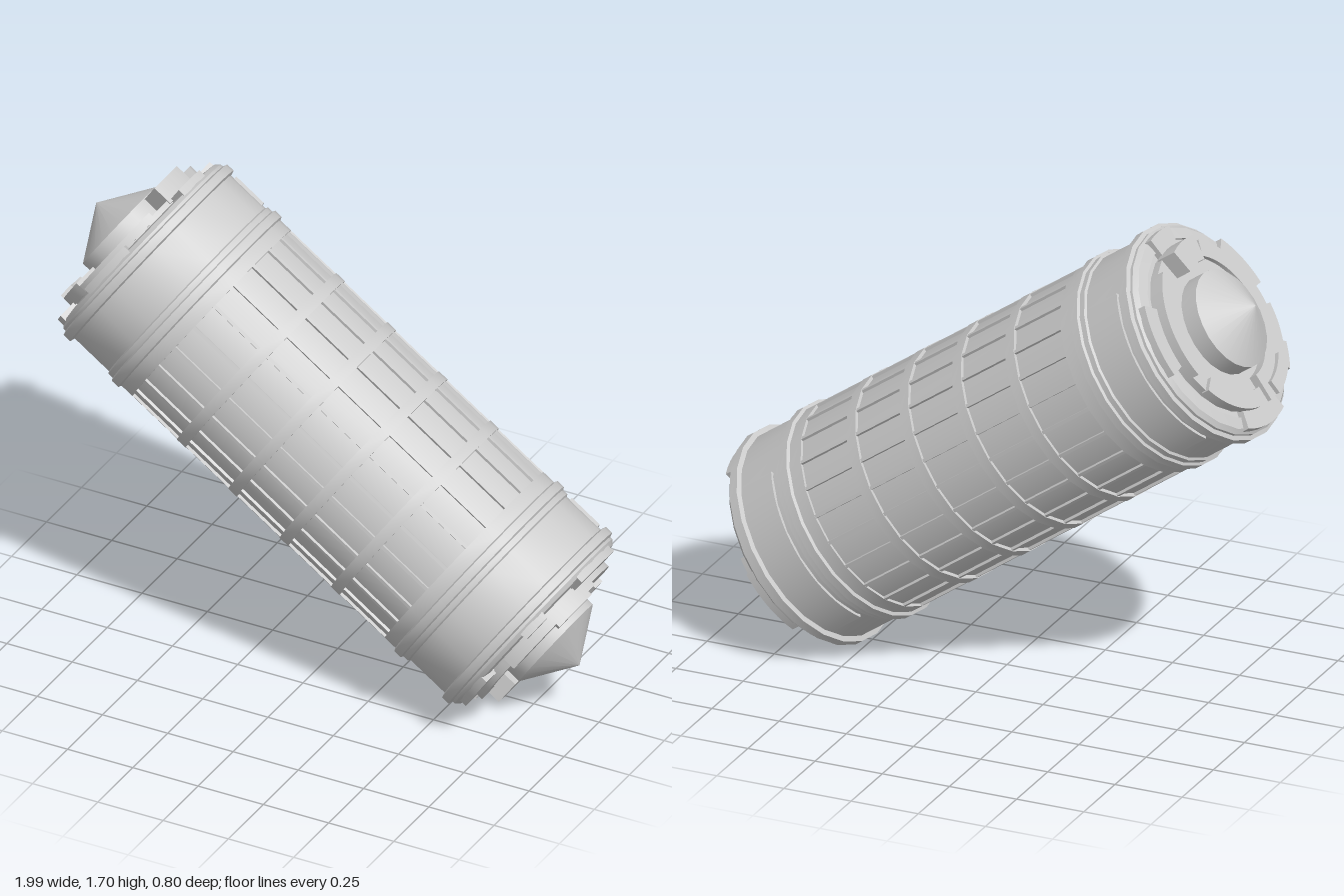
import * as THREE from 'three';
import { toCreasedNormals } from 'three/addons/utils/BufferGeometryUtils.js';

const material = new THREE.MeshStandardMaterial({ color: 0xcccccc });
const SIDES = 24;
const rad = THREE.MathUtils.degToRad;

function add(parent, name, geometry) {
  const mesh = new THREE.Mesh(geometry, material);
  mesh.name = name;
  parent.add(mesh);
  return mesh;
}

// Turned part from [radius, height] pairs, listed bottom to top
function turned(points) {
  const profile = points.map(([r, y]) => new THREE.Vector2(r, y));
  return toCreasedNormals(new THREE.LatheGeometry(profile, SIDES), 0.35);
}

// Ring segment around the axis; angles run from the upper side towards +z
function sector(inner, outer, from, to, y0, y1) {
  const a = rad(from + 180), b = rad(to + 180);
  const shape = new THREE.Shape();
  shape.absarc(0, 0, outer, a, b, false);
  shape.absarc(0, 0, inner, b, a, true);
  const geometry = new THREE.ExtrudeGeometry(shape, { depth: y1 - y0, bevelEnabled: false, curveSegments: 10 });
  geometry.rotateX(-Math.PI / 2).translate(0, y0, 0);
  return toCreasedNormals(geometry, 0.5);
}

function makeEnd() {
  const end = new THREE.Group();
  // Collar with double ring, smooth band, rim and stepped face
  add(end, 'collar', turned([
    [0.378, 0.59], [0.388, 0.59], [0.388, 0.64], [0.399, 0.645], [0.399, 0.675],
    [0.39, 0.68], [0.39, 0.7], [0.382, 0.705], [0.382, 0.865], [0.4, 0.87],
    [0.4, 0.9], [0.385, 0.905], [0.385, 0.915], [0.37, 0.93], [0.33, 0.935],
    [0.33, 0.925], [0.305, 0.925], [0.305, 0.955], [0.22, 0.955], [0, 0.955]
  ]));
  // Plate on the back of the smooth band
  add(end, 'backPlate', sector(0.37, 0.391, -138, -42, 0.72, 0.85));
  // Interlocking segments on the face
  const lugs = [
    [0.21, 0.31, 0, 80, 0.985], [0.25, 0.31, -62, 0, 0.97], [0.25, 0.31, 80, 150, 0.97],
    [0.22, 0.31, 165, 195, 1.015], [0.27, 0.31, -150, -75, 0.985], [0.26, 0.31, 8, 40, 1.0]
  ];
  for (const [inner, outer, from, to, top] of lugs)
    add(end, 'faceLug', sector(inner, outer, from, to, 0.94, top));
  const tabs = [[-25, 15], [42, 58], [92, 125], [-125, -85], [168, 190]];
  for (const [from, to] of tabs)
    add(end, 'rimTab', sector(0.3, 0.375, from, to, 0.91, 0.95));
  // Pointed hub
  add(end, 'hub', turned([[0.18, 0.94], [0.18, 1.02], [0, 1.13]]));
  return end;
}

export function createModel() {
  const model = new THREE.Group();
  const canister = new THREE.Group();
  canister.name = 'canister';

  // Central barrel
  add(canister, 'barrel', turned([[0.378, -0.6], [0.378, 0.6]]));

  // Ribs between the five rows of windows
  for (const y of [-0.36, -0.12, 0.12, 0.36])
    add(canister, 'rib', turned([
      [0.374, y - 0.02], [0.39, y - 0.02], [0.39, y + 0.02], [0.374, y + 0.02]
    ]));

  // Lengthwise bars between the windows
  for (let i = 0; i < SIDES; i++) {
    const angle = (i / SIDES) * Math.PI * 2;
    const bar = add(canister, 'windowBar', new THREE.BoxGeometry(0.012, 1.19, 0.02));
    bar.position.set(Math.sin(angle) * 0.377, 0, Math.cos(angle) * 0.377);
    bar.rotation.y = angle;
  }

  // Matching ends, the second turned half round
  const lowerEnd = makeEnd();
  lowerEnd.name = 'lowerEnd';
  const upperEnd = makeEnd();
  upperEnd.name = 'upperEnd';
  upperEnd.rotation.z = Math.PI;
  canister.add(lowerEnd, upperEnd);

  // Tilt the whole canister
  canister.rotation.z = rad(-125);
  canister.position.y = 0.85;
  model.add(canister);
  return model;
}
